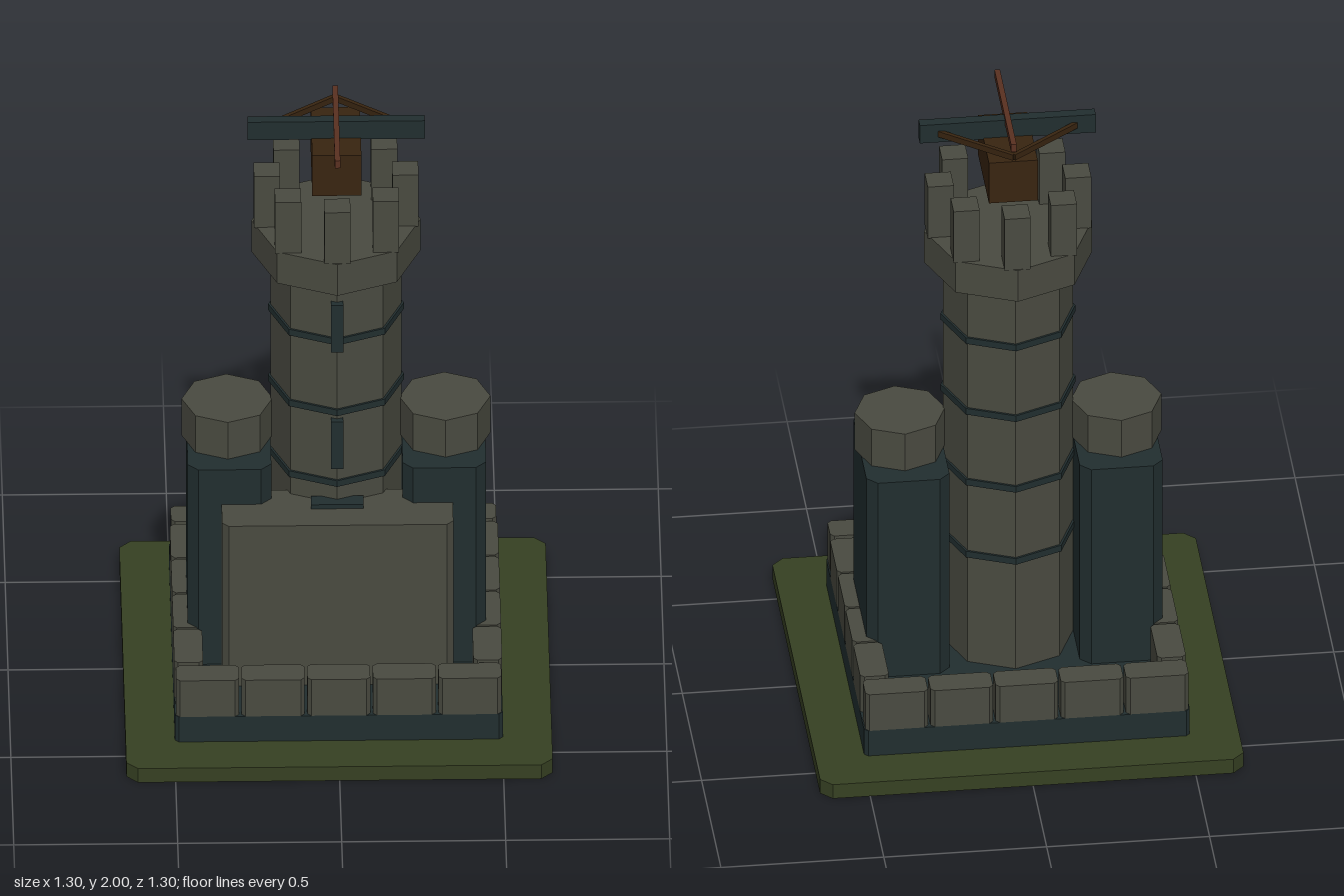
import * as THREE from 'three';

const mat = (name, color) => {
  const m = new THREE.MeshStandardMaterial({ color });
  m.name = name;
  return m;
};

export function createModel() {
  const model = new THREE.Group();
  model.name = 'watchtower';
  const stone = mat('stone', 0x494a40);
  const slate = mat('slate', 0x212e2f);
  const grass = mat('grass', 0x364022);
  const wood = mat('wood', 0x382410);
  const boltWood = mat('boltWood', 0x593020);

  const add = (name, geo, material, x, y, z, parent = model) => {
    const mesh = new THREE.Mesh(geo, material);
    mesh.name = name;
    mesh.position.set(x, y, z);
    parent.add(mesh);
    return mesh;
  };
  const group = (name) => {
    const g = new THREE.Group();
    g.name = name;
    model.add(g);
    return g;
  };

  // Upright block with cut vertical corners, standing on y = 0
  const cutBlock = (w, h, d, c) => {
    const a = w / 2, b = d / 2;
    const pts = [[a, -b + c], [a, b - c], [a - c, b], [-a + c, b],
      [-a, b - c], [-a, -b + c], [-a + c, -b], [a - c, -b]];
    const shape = new THREE.Shape(pts.map(([x, y]) => new THREE.Vector2(x, y)));
    return new THREE.ExtrudeGeometry(shape, { depth: h, bevelEnabled: false }).rotateX(-Math.PI / 2);
  };
  // Flat-sided octagonal drum, standing on y = 0
  const octagon = (r, h) => {
    const g = new THREE.CylinderGeometry(r, r, h, 8).toNonIndexed();
    g.computeVertexNormals();
    return g.translate(0, h / 2, 0);
  };

  // Ground and plinth
  add('ground', cutBlock(1.3, 0.05, 1.3, 0.035), grass, 0, 0, 0);
  add('plinth', cutBlock(1, 0.09, 1, 0.012), slate, 0, 0.05, 0);

  // Low wall of separate blocks
  const wall = group('outerWall');
  const longBlock = cutBlock(0.192, 0.13, 0.088, 0.012);
  const sideBlock = cutBlock(0.088, 0.13, 0.192, 0.012);
  for (const s of [-1, 1]) {
    for (let i = -2; i <= 2; i++) add('wallBlock', longBlock, stone, i * 0.2, 0.14, s * 0.456, wall);
    for (let i = -1.5; i <= 1.5; i++) add('wallBlock', sideBlock, stone, s * 0.456, 0.14, i * 0.2, wall);
  }

  // Tower shaft with bands
  add('towerShaft', octagon(0.2, 1.36), stone, 0, 0.14, 0);
  for (const y of [0.53, 0.79, 1.045, 1.3]) add('towerBand', octagon(0.207, 0.022), slate, 0, y - 0.011, 0);

  // Arrow slits and door behind the gate wall
  for (const y of [0.935, 1.355]) add('arrowSlit', new THREE.BoxGeometry(0.037, 0.17, 0.025), slate, 0, y, 0.205);
  add('door', new THREE.BoxGeometry(0.16, 0.59, 0.05), slate, 0, 0.435, 0.205);

  // Crown and battlements
  add('crown', octagon(0.258, 0.112), stone, 0, 1.5, 0);
  const battlements = group('battlements');
  for (let i = 0; i < 8; i++) {
    const a = i * Math.PI / 4;
    add('merlon', new THREE.BoxGeometry(0.08, 0.185, 0.08), stone,
      Math.sin(a) * 0.211, 1.7025, Math.cos(a) * 0.211, battlements);
  }

  // Side turrets
  for (const s of [-1, 1]) {
    add('sideTurret', cutBlock(0.255, 0.7, 0.4, 0.032), slate, s * 0.3275, 0.14, 0);
    add('turretCap', octagon(0.139, 0.132), stone, s * 0.332, 0.84, 0);
  }

  // Gate wall in front
  add('gateWall', cutBlock(0.705, 0.575, 0.205, 0.02), stone, 0, 0.14, 0.2225);

  // Mounted crossbow
  const bow = group('crossbow');
  add('mount', new THREE.BoxGeometry(0.15, 0.145, 0.276), wood, 0, 1.8575, 0, bow);
  add('bowArm', new THREE.BoxGeometry(0.54, 0.064, 0.034), slate, 0, 1.958, 0.022, bow);
  add('bolt', new THREE.BoxGeometry(0.017, 0.027, 0.43), boltWood, 0, 1.9865, 0.064, bow);
  for (const s of [-1, 1]) {
    const dx = s * 0.21, dz = 0.16;
    const string = add('bowString', new THREE.BoxGeometry(0.013, 0.02, Math.hypot(dx, dz)), wood,
      dx / 2, 1.956, -0.152 + dz / 2, bow);
    string.rotation.y = Math.atan2(dx, dz);
  }
  return model;
}
